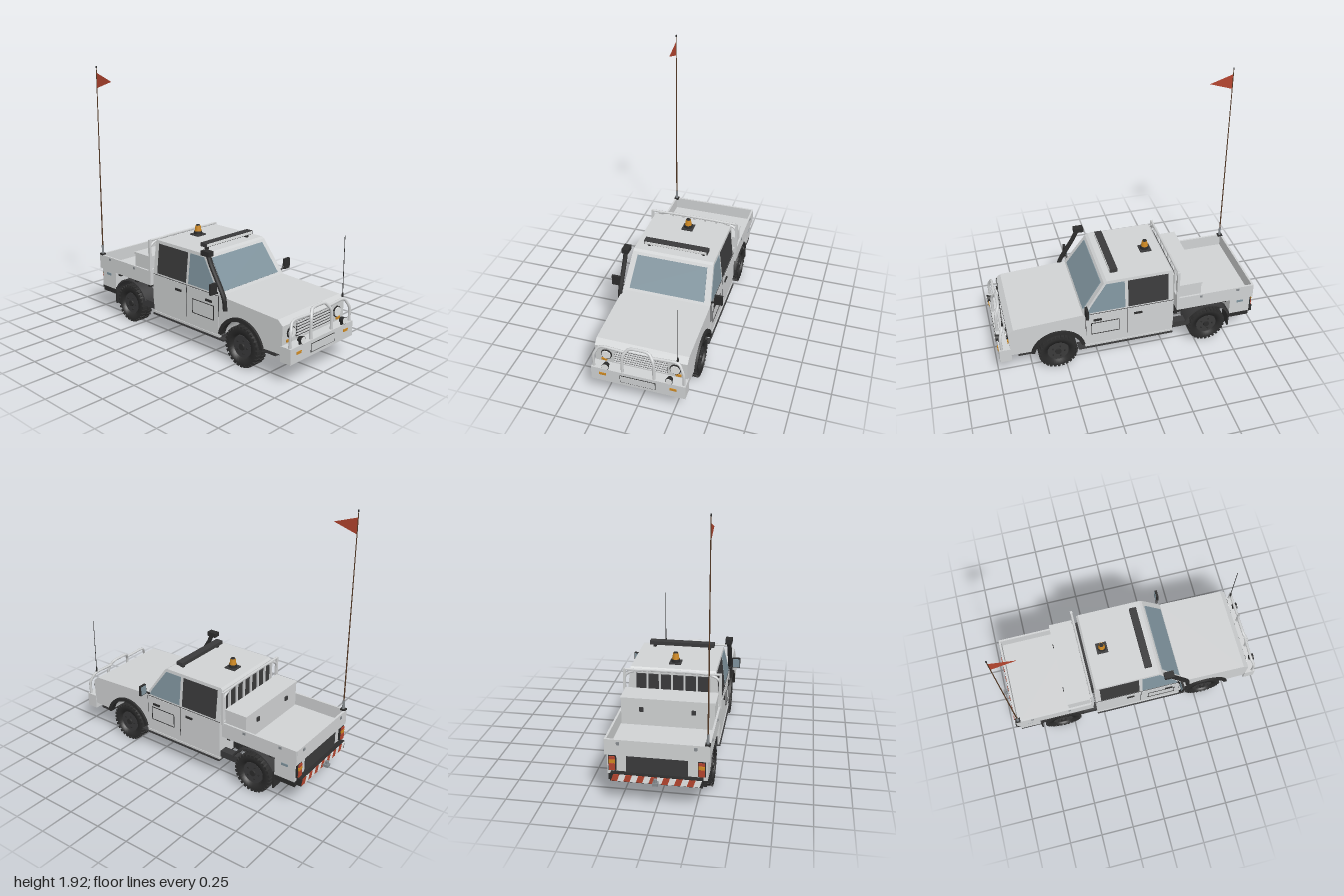
import * as THREE from 'three';

const mat = (name, color, side = THREE.FrontSide) => {
  const m = new THREE.MeshStandardMaterial({ color, side });
  m.name = name;
  return m;
};

export function createModel() {
  const root = new THREE.Group();
  root.name = 'utilityTruck';
  const body = mat('body paint', 0xd0d2d3), black = mat('black rubber', 0x2c2c2c), dark = mat('dark trim', 0x3a3a3b),
    glass = mat('glass', 0x80949e), orange = mat('amber', 0xd08a22), red = mat('red', 0xb4452f, THREE.DoubleSide),
    brown = mat('pole brown', 0x553a26), steel = mat('steel grey', 0x878c90), white = mat('lamp white', 0xe4e6e6);

  const add = (name, geo, m, parent = root) => {
    const mesh = new THREE.Mesh(geo, m);
    mesh.name = name;
    parent.add(mesh);
    return mesh;
  };
  const box = (name, m, x0, x1, y0, y1, z0, z1, parent = root) => {
    const b = add(name, new THREE.BoxGeometry(x1 - x0, y1 - y0, z1 - z0), m, parent);
    b.position.set((x0 + x1) / 2, (y0 + y1) / 2, (z0 + z1) / 2);
    return b;
  };
  // The same box on both sides of the vehicle
  const pair = (name, m, x0, x1, y0, y1, z0, z1) => {
    box(name, m, x0, x1, y0, y1, z0, z1);
    box(name, m, x0, x1, y0, y1, -z1, -z0);
  };
  const poly = (pts) => new THREE.Shape(pts.map(([x, y]) => new THREE.Vector2(x, y)));
  const slab = (shape, z0, z1) => new THREE.ExtrudeGeometry(shape, { depth: z1 - z0, bevelEnabled: false, curveSegments: 24 }).translate(0, 0, z0);
  const tube = (name, m, pts, r, n = 24) => {
    const path = new THREE.CurvePath();
    const v = pts.map((p) => new THREE.Vector3(...p));
    // Straight runs joined by rounded corners
    let from = v[0];
    for (let i = 1; i < v.length - 1; i++) {
      const a = v[i].clone().lerp(v[i - 1], 0.3), b = v[i].clone().lerp(v[i + 1], 0.3);
      path.add(new THREE.LineCurve3(from, a));
      path.add(new THREE.QuadraticBezierCurve3(a, v[i], b));
      from = b;
    }
    path.add(new THREE.LineCurve3(from, v[v.length - 1]));
    return add(name, new THREE.TubeGeometry(path, n, r, 8), m);
  };
  // Cylinder along a chosen axis
  const rod = (name, m, r0, r1, len, x, y, z, axis = 'y', seg = 16) => {
    const c = add(name, new THREE.CylinderGeometry(r1, r0, len, seg), m);
    c.position.set(x, y, z);
    if (axis === 'x') c.rotation.z = -Math.PI / 2;
    if (axis === 'z') c.rotation.x = Math.PI / 2;
    return c;
  };

  // Lower cab and bonnet with open wheel arch
  const hull = new THREE.Shape();
  hull.moveTo(-0.31, 0.165);
  hull.lineTo(0.36, 0.165);
  hull.absarc(0.56, 0.145, 0.182, Math.PI * 0.93, Math.PI * 0.09, true);
  for (const [x, y] of [[0.905, 0.2], [0.912, 0.395], [0.872, 0.43], [0.37, 0.455], [-0.31, 0.455]]) hull.lineTo(x, y);
  add('lowerBody', slab(hull, -0.328, 0.328), body);
  pair('doorSkins', body, -0.31, 0.35, 0.215, 0.45, 0.328, 0.334);

  // Greenhouse narrows towards the roof
  const halfW = (y) => 0.328 - (y - 0.455) * 0.11;
  const taper = (geo) => {
    const p = geo.attributes.position;
    for (let i = 0; i < p.count; i++) p.setZ(i, p.getZ(i) * halfW(p.getY(i)));
    geo.computeVertexNormals();
    return geo;
  };
  add('greenhouse', taper(slab(poly([[-0.31, 0.455], [0.368, 0.455], [0.205, 0.694], [0.185, 0.706], [-0.295, 0.706], [-0.31, 0.69]]), -1, 1)), body);
  add('windscreen', taper(slab(poly([[0.355, 0.472], [0.361, 0.476], [0.223, 0.679], [0.217, 0.675]]), -0.86, 0.86)), glass);
  const sideWindow = (name, pts, m) => {
    add(name, taper(slab(poly(pts), 0.995, 1.01)), m);
    add(name, taper(slab(poly(pts), -1.01, -0.995)), m);
  };
  sideWindow('rearSideWindow', [[-0.27, 0.465], [0.03, 0.465], [0.03, 0.683], [-0.27, 0.683]], dark);
  sideWindow('frontSideWindow', [[0.055, 0.465], [0.335, 0.465], [0.315, 0.505], [0.19, 0.683], [0.055, 0.683]], glass);

  // Door details
  pair('doorSeam', dark, 0.041, 0.045, 0.22, 0.45, 0.333, 0.3355);
  pair('doorFrontSeam', dark, 0.349, 0.352, 0.3, 0.45, 0.327, 0.3345);
  pair('beltLine', dark, -0.31, 0.35, 0.45, 0.453, 0.326, 0.331);
  for (const x of [-0.07, 0.235]) pair('doorHandle', black, x, x + 0.06, 0.39, 0.405, 0.332, 0.342);
  for (const y of [0.265, 0.367]) pair('doorPanelEdge', black, 0.1, 0.312, y, y + 0.004, 0.333, 0.337);
  for (const x of [0.1, 0.308]) pair('doorPanelEdge', black, x, x + 0.004, 0.265, 0.371, 0.333, 0.337);
  pair('sideStep', dark, -0.31, 0.41, 0.14, 0.152, 0.27, 0.34);
  pair('sill', body, -0.31, 0.36, 0.152, 0.168, 0.31, 0.332);
  box('floorPan', dark, -0.31, 0.37, 0.152, 0.164, -0.31, 0.31);
  box('frontUnderTray', dark, 0.75, 0.85, 0.17, 0.2, -0.32, 0.32);
  pair('rearCabSill', dark, -0.45, -0.31, 0.17, 0.22, 0.26, 0.32);

  // Wheel arch flares and rear mudguards
  const arc = (x, r0, r1, a0, a1, z0, z1) => {
    const s = new THREE.Shape();
    s.absarc(x, 0.145, r1, a0, a1, false);
    s.absarc(x, 0.145, r0, a1, a0, true);
    return slab(s, z0, z1);
  };
  for (const [z0, z1] of [[0.3, 0.345], [-0.345, -0.3]]) add('frontFlare', arc(0.56, 0.178, 0.204, 0.22, 2.92, z0, z1), black);
  for (const [z0, z1] of [[0.22, 0.33], [-0.33, -0.22]]) add('rearMudguard', arc(-0.585, 0.176, 0.187, 0.35, 2.79, z0, z1), dark);
  pair('mudFlap', black, -0.762, -0.752, 0.1, 0.23, 0.225, 0.33);

  // Wheels with chunky tread
  const tyre = [[0.085, -0.04], [0.125, -0.047], [0.137, -0.038], [0.137, 0.038], [0.125, 0.047], [0.085, 0.04], [0.085, -0.04]];
  for (const x of [-0.585, 0.56]) for (const s of [1, -1]) {
    const wheel = new THREE.Group();
    wheel.name = 'wheel';
    wheel.position.set(x, 0.145, s * 0.283);
    if (s < 0) wheel.rotation.y = Math.PI;
    root.add(wheel);
    const profile = tyre.map(([r, y]) => new THREE.Vector2(r, y));
    add('tyre', new THREE.LatheGeometry(profile, 36).rotateX(Math.PI / 2), black, wheel);
    for (let i = 0; i < 28; i++) for (const side of [1, -1]) {
      const a = ((i + (side > 0 ? 0 : 0.5)) / 28) * Math.PI * 2;
      const lug = add('treadLug', new THREE.BoxGeometry(0.016, 0.018, 0.042), black, wheel);
      lug.position.set(Math.cos(a) * 0.136, Math.sin(a) * 0.136, side * 0.026);
      lug.rotation.z = a;
    }
    const disc = add('rim', new THREE.CylinderGeometry(0.078, 0.087, 0.06, 28).rotateX(Math.PI / 2), dark, wheel);
    disc.position.z = 0.004;
    add('hub', new THREE.CylinderGeometry(0.022, 0.03, 0.09, 16).rotateX(Math.PI / 2), black, wheel);
    for (let i = 0; i < 5; i++) {
      const nut = add('wheelNut', new THREE.CylinderGeometry(0.006, 0.006, 0.01, 6).rotateX(Math.PI / 2), black, wheel);
      nut.position.set(Math.cos(i * 1.2566) * 0.048, Math.sin(i * 1.2566) * 0.048, 0.037);
    }
  }

  // Chassis, axles and driveline
  pair('chassisRail', black, -0.93, 0.88, 0.17, 0.215, 0.13, 0.165);
  for (const x of [-0.85, -0.45, -0.2, 0.1, 0.35, 0.8]) box('crossMember', black, x - 0.018, x + 0.018, 0.165, 0.2, -0.15, 0.15);
  for (const x of [-0.585, 0.56]) {
    rod('axle', black, 0.024, 0.024, 0.5, x, 0.145, 0, 'z');
    const diff = add('differential', new THREE.SphereGeometry(0.047, 16, 12), black);
    diff.position.set(x, 0.15, 0.035);
    pair('leafSpring', black, x - 0.16, x + 0.16, 0.165, 0.18, 0.18, 0.205);
  }
  rod('driveShaft', dark, 0.014, 0.014, 1.1, -0.01, 0.155, 0.03, 'x', 10);
  tube('exhaust', dark, [[0.3, 0.15, -0.09], [-0.42, 0.15, -0.09], [-0.55, 0.24, -0.1], [-0.88, 0.2, -0.1]], 0.013);

  // Tray with floor, drop sides and under-tray supports
  box('trayFloor', body, -0.93, -0.34, 0.355, 0.372, -0.335, 0.335);
  pair('traySide', body, -0.935, -0.335, 0.355, 0.465, 0.326, 0.34);
  box('tailgate', body, -0.937, -0.922, 0.355, 0.465, -0.334, 0.334);
  box('trayFront', body, -0.352, -0.335, 0.355, 0.475, -0.334, 0.334);
  for (const x of [-0.82, -0.53]) pair('sideLatch', steel, x, x + 0.02, 0.438, 0.455, 0.339, 0.344);
  pair('tailgateLatch', steel, -0.942, -0.936, 0.43, 0.45, 0.24, 0.26);
  for (const x of [-0.72, -0.525, -0.375]) {
    pair('trayPost', black, x - 0.013, x + 0.013, 0.2, 0.355, 0.18, 0.21);
    box('trayBearer', black, x - 0.013, x + 0.013, 0.33, 0.355, -0.32, 0.32);
  }
  pair('underTrayBox', body, -0.92, -0.762, 0.212, 0.355, 0.2, 0.326);
  pair('boxLatch', glass, -0.865, -0.815, 0.312, 0.33, 0.326, 0.33);
  pair('rearOuterRail', black, -0.92, -0.755, 0.17, 0.212, 0.2, 0.32);

  // Tool box in the tray
  box('toolBox', body, -0.522, -0.352, 0.372, 0.555, -0.322, 0.322);
  box('toolBoxLid', body, -0.527, -0.35, 0.555, 0.57, -0.327, 0.327);
  pair('toolBoxLatch', dark, -0.533, -0.522, 0.475, 0.505, 0.165, 0.195);

  // Headboard frame and rear window guard
  tube('headboardHoop', body, [[-0.338, 0.45, 0.337], [-0.338, 0.703, 0.337], [-0.338, 0.703, -0.337], [-0.338, 0.45, -0.337]]
    .map(([x, y, z]) => [x, y, z]), 0.009, 60).name = 'headboardHoop';
  rod('headboardTopRail', body, 0.009, 0.009, 0.66, -0.338, 0.7, 0, 'z', 8);
  pair('headboardUpright', body, -0.347, -0.329, 0.45, 0.705, 0.328, 0.346);
  box('rearWindow', dark, -0.326, -0.309, 0.49, 0.665, -0.26, 0.26);
  for (let i = 0; i < 7; i++) box('windowBar', body, -0.346, -0.332, 0.47, 0.7, -0.266 + i * 0.0867, -0.254 + i * 0.0867);

  // Rear end: lamps, panel, striped bumper and hitch
  box('rearPanel', dark, -0.93, -0.915, 0.235, 0.352, -0.2, 0.2);
  pair('tailLampHousing', black, -0.935, -0.915, 0.245, 0.35, 0.265, 0.315);
  pair('brakeLamp', red, -0.943, -0.935, 0.25, 0.295, 0.27, 0.31);
  pair('rearIndicator', orange, -0.943, -0.935, 0.3, 0.322, 0.27, 0.31);
  pair('reverseLamp', red, -0.943, -0.935, 0.326, 0.346, 0.27, 0.31);
  box('rearBumper', black, -0.957, -0.92, 0.18, 0.235, -0.3, 0.3);
  for (let i = 0; i < 14; i++) {
    const u = -0.295 + i * 0.041;
    const stripe = slab(poly([[u, 0.184], [u + 0.041, 0.184], [u + 0.057, 0.231], [u + 0.016, 0.231]]), 0, 0.004);
    add('bumperStripe', stripe.rotateY(-Math.PI / 2).translate(-0.957, 0, 0), i % 2 ? white : red);
  }
  box('hitch', steel, -1, -0.955, 0.19, 0.21, -0.018, 0.018);
  rod('towBall', steel, 0.011, 0.011, 0.025, -0.985, 0.222, 0);

  // Front face: grille, lamps and bull bar
  box('grille', dark, 0.905, 0.914, 0.28, 0.388, -0.19, 0.19);
  for (let i = 0; i < 6; i++) box('grilleSlat', body, 0.908, 0.922, 0.278 + i * 0.02, 0.287 + i * 0.02, -0.19, 0.19);
  box('bumper', body, 0.9, 0.985, 0.155, 0.262, -0.335, 0.335);
  box('plateFrame', black, 0.984, 0.987, 0.178, 0.238, -0.127, 0.127);
  box('plate', body, 0.985, 0.989, 0.182, 0.234, -0.123, 0.123);
  pair('bumperIndicator', orange, 0.984, 0.99, 0.21, 0.228, 0.228, 0.275);
  for (const s of [1, -1]) {
    rod('headlampRim', black, 0.039, 0.039, 0.016, 0.912, 0.335, s * 0.245, 'x', 24);
    rod('headlamp', white, 0.035, 0.033, 0.02, 0.915, 0.335, s * 0.245, 'x', 24);
    box('sideIndicator', orange, 0.908, 0.916, 0.275, 0.292, s * 0.265 - 0.02, s * 0.265 + 0.02);
    rod('spotLamp', black, 0.018, 0.026, 0.035, 0.98, 0.297, s * 0.225, 'x', 20);
    rod('spotLens', white, 0.023, 0.023, 0.004, 0.998, 0.297, s * 0.225, 'x', 20);
    box('spotBracket', black, 0.965, 0.978, 0.26, 0.28, s * 0.225 - 0.008, s * 0.225 + 0.008);
    tube('bullBarSide', body, [[0.965, 0.26, s * 0.32], [0.97, 0.36, s * 0.32], [0.945, 0.432, s * 0.28], [0.95, 0.425, s * 0.1]], 0.01);
  }
  tube('bullBarHoop', body, [[0.97, 0.26, 0.112], [0.97, 0.4, 0.112], [0.94, 0.458, 0.07], [0.94, 0.458, -0.07], [0.97, 0.4, -0.112], [0.97, 0.26, -0.112]], 0.011, 48);

  // Roof equipment
  box('lightBar', dark, 0.09, 0.145, 0.728, 0.755, -0.24, 0.24);
  box('lightBarLens', white, 0.145, 0.149, 0.732, 0.751, -0.232, 0.232);
  pair('lightBarFoot', black, 0.105, 0.13, 0.704, 0.728, 0.195, 0.215);
  box('beaconBase', dark, -0.222, -0.138, 0.705, 0.715, -0.042, 0.042);
  rod('beaconCollar', black, 0.032, 0.03, 0.022, -0.18, 0.725, 0);
  rod('beacon', orange, 0.026, 0.019, 0.044, -0.18, 0.757, 0);
  rod('beaconCap', black, 0.017, 0.015, 0.006, -0.18, 0.781, 0);

  // Snorkel on the right side
  tube('snorkel', black, [[0.418, 0.365, 0.332], [0.412, 0.455, 0.336], [0.29, 0.655, 0.336], [0.255, 0.735, 0.336]], 0.017, 32);
  box('snorkelHead', black, 0.213, 0.287, 0.716, 0.75, 0.31, 0.36);

  // Mirrors
  for (const s of [1, -1]) {
    box('mirrorHousing', black, 0.344, 0.362, 0.478, 0.555, s * 0.385 - 0.03, s * 0.385 + 0.03);
    box('mirrorGlass', glass, 0.34, 0.344, 0.484, 0.549, s * 0.385 - 0.025, s * 0.385 + 0.025);
    tube('mirrorArm', black, [[0.335, 0.465, s * 0.32], [0.345, 0.48, s * 0.345], [0.353, 0.51, s * 0.37]], 0.007, 10);
  }

  // Flag mast and aerial
  box('mastMount', black, -0.935, -0.898, 0.462, 0.474, 0.308, 0.342);
  rod('mastSpring', steel, 0.01, 0.008, 0.07, -0.915, 0.506, 0.325);
  rod('mast', brown, 0.005, 0.003, 1.38, -0.915, 1.23, 0.325, 'y', 8);
  rod('mastTip', black, 0.005, 0.005, 0.014, -0.915, 1.916, 0.325, 'y', 8);
  add('flag', new THREE.ShapeGeometry(poly([[-0.913, 1.76], [-0.742, 1.816], [-0.913, 1.872]])).translate(0, 0, 0.325), red);
  rod('aerialBase', black, 0.008, 0.006, 0.03, 0.94, 0.455, -0.27, 'y', 8);
  rod('aerial', black, 0.0025, 0.002, 0.41, 0.94, 0.667, -0.27, 'y', 6);
  return root;
}
